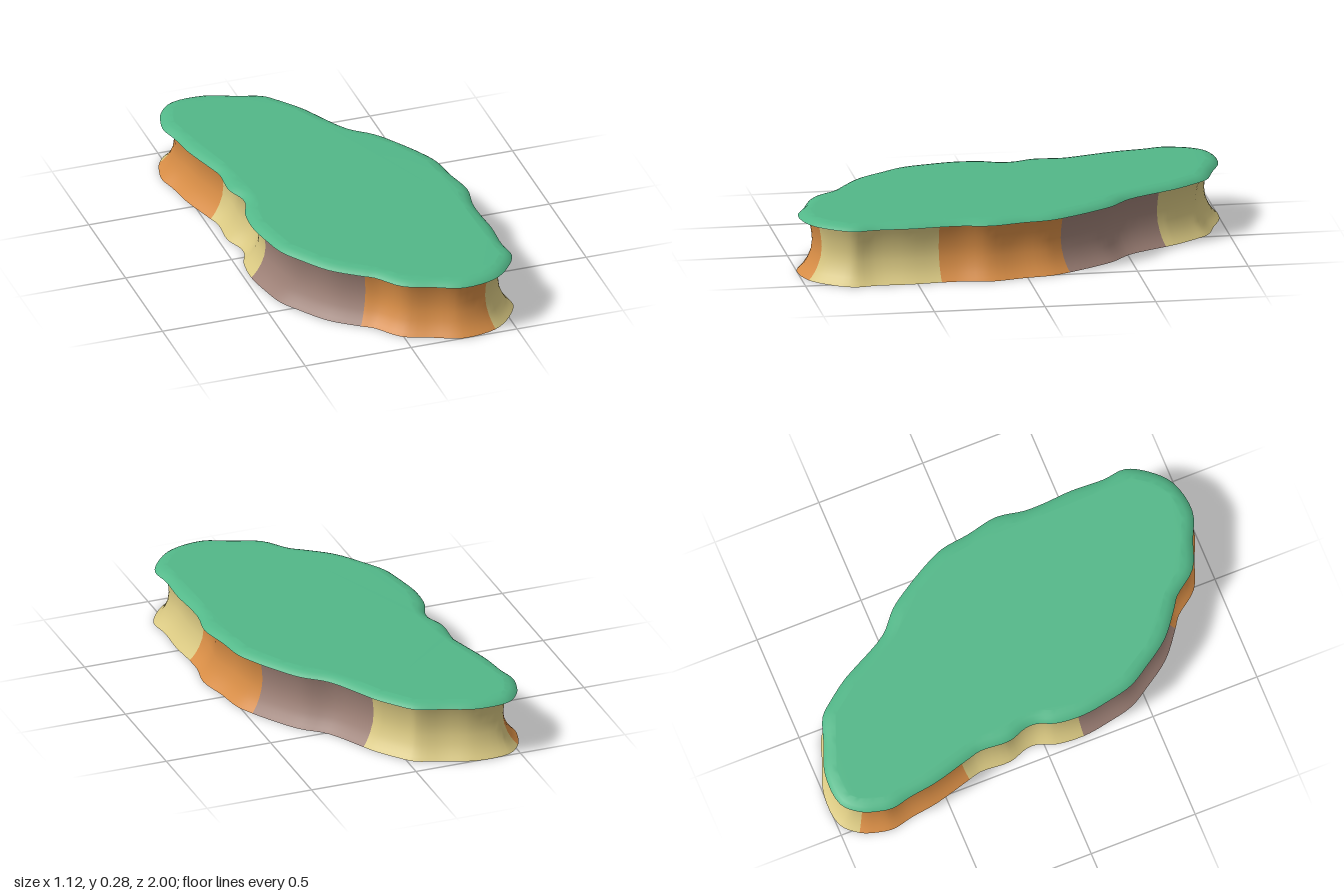
import * as THREE from 'three';

// Plan outline (x, z), running back -> left -> front -> right
const OUTLINE = [
  [-0.45, -0.99], [-0.29, -1.0], [-0.15, -0.95], [-0.03, -0.905], [0.03, -0.84], [0.1, -0.745],
  [0.13, -0.69], [0.23, -0.51], [0.33, -0.42], [0.4, -0.32], [0.47, -0.2], [0.51, -0.11],
  [0.53, 0.02], [0.56, 0.17], [0.54, 0.3], [0.54, 0.39], [0.55, 0.53], [0.545, 0.68],
  [0.555, 0.79], [0.5, 0.89], [0.41, 0.97], [0.25, 1.0], [0.12, 0.95], [-0.01, 0.895],
  [-0.1, 0.785], [-0.15, 0.75], [-0.27, 0.655], [-0.36, 0.53], [-0.42, 0.43], [-0.45, 0.31],
  [-0.47, 0.18], [-0.46, 0.05], [-0.43, -0.03], [-0.43, -0.08], [-0.46, -0.17], [-0.455, -0.31],
  [-0.47, -0.37], [-0.52, -0.55], [-0.54, -0.68], [-0.56, -0.77], [-0.55, -0.84], [-0.52, -0.92],
];
const STEPS = 4; // samples per outline point
const N = OUTLINE.length * STEPS;

const ORANGE = 0xd68c45, MAUVE = 0x9c7f75, YELLOW = 0xd8c781, GREEN = 0x52b788;

// Wall and rim profiles as [height, inset from the outline]
const WALL = [[0, 0], [0.015, 0.016], [0.035, 0.032], [0.06, 0.047], [0.1, 0.063],
  [0.145, 0.069], [0.19, 0.065], [0.225, 0.058], [0.257, 0.048]];
const RIM = [[0.255, 0.006], [0.262, 0.013], [0.27, 0.025], [0.276, 0.04], [0.28, 0.062]];

// Wall sections: first outline point and colour; each runs to the next one
const SECTIONS = [[6, MAUVE], [10, ORANGE], [15, YELLOW], [20, ORANGE],
  [25, MAUVE], [30, YELLOW], [36, ORANGE], [41, YELLOW]];

const curve = new THREE.CatmullRomCurve3(
  OUTLINE.map(([x, z]) => new THREE.Vector3(x, 0, z)), true, 'centripetal');

// One closed ring of points, moved inwards along the outline's normal
function ring(y, inset) {
  const points = [];
  for (let i = 0; i < N; i++) {
    const p = curve.getPoint(i / N);
    const t = curve.getPoint(((i + 3) % N) / N).sub(curve.getPoint(((i - 3 + N) % N) / N)).normalize();
    points.push(new THREE.Vector3(p.x - t.z * inset, y, p.z + t.x * inset));
  }
  return points;
}

// Outward-facing strips between stacked rings, from sample start over count samples
function strips(rows, start, count) {
  const index = [];
  for (let j = 0; j < rows - 1; j++) {
    for (let k = 0; k < count; k++) {
      const i = (start + k) % N, n = (i + 1) % N;
      const a = j * N + i, b = j * N + n, c = a + N, d = b + N;
      index.push(a, c, b, b, c, d);
    }
  }
  return index;
}

// Flat fill of a ring, facing up or down
function cap(points, offset, up) {
  const flat = points.map((p) => new THREE.Vector2(p.x, p.z));
  return THREE.ShapeUtils.triangulateShape(flat, []).flatMap(([a, b, c]) => {
    const ab = flat[b].clone().sub(flat[a]), ac = flat[c].clone().sub(flat[a]);
    const facesUp = ab.cross(ac) < 0;
    return (facesUp === up ? [a, b, c] : [a, c, b]).map((v) => v + offset);
  });
}

function build(points, index) {
  const geometry = new THREE.BufferGeometry().setFromPoints(points);
  geometry.setIndex(index);
  geometry.computeVertexNormals();
  return geometry;
}

export function createModel() {
  const model = new THREE.Group();

  // Concave rock wall, open underneath, split into coloured sections
  const wall = new THREE.Group();
  wall.name = 'rockWall';
  const whole = build(WALL.flatMap(([y, inset]) => ring(y, inset)), strips(WALL.length, 0, N));
  SECTIONS.forEach(([first, color], s) => {
    const next = SECTIONS[(s + 1) % SECTIONS.length][0];
    const count = ((next - first + OUTLINE.length) % OUTLINE.length) * STEPS;
    const part = whole.clone();
    part.setIndex(strips(WALL.length, first * STEPS, count));
    const mesh = new THREE.Mesh(part.toNonIndexed(),
      new THREE.MeshStandardMaterial({ color, side: THREE.DoubleSide }));
    mesh.name = `rockSection${s + 1}`;
    wall.add(mesh);
  });
  model.add(wall);

  // Grass slab with a rounded rim, flat top and flat underside
  const rings = RIM.map(([y, inset]) => ring(y, inset));
  const top = rings[rings.length - 1], under = ring(...RIM[0]);
  const index = [
    ...strips(RIM.length, 0, N),
    ...cap(top, (RIM.length - 1) * N, true),
    ...cap(under, RIM.length * N, false),
  ];
  const grass = new THREE.Mesh(build([...rings.flat(), ...under], index),
    new THREE.MeshStandardMaterial({ color: GREEN }));
  grass.name = 'grassTop';
  model.add(grass);

  return model;
}
